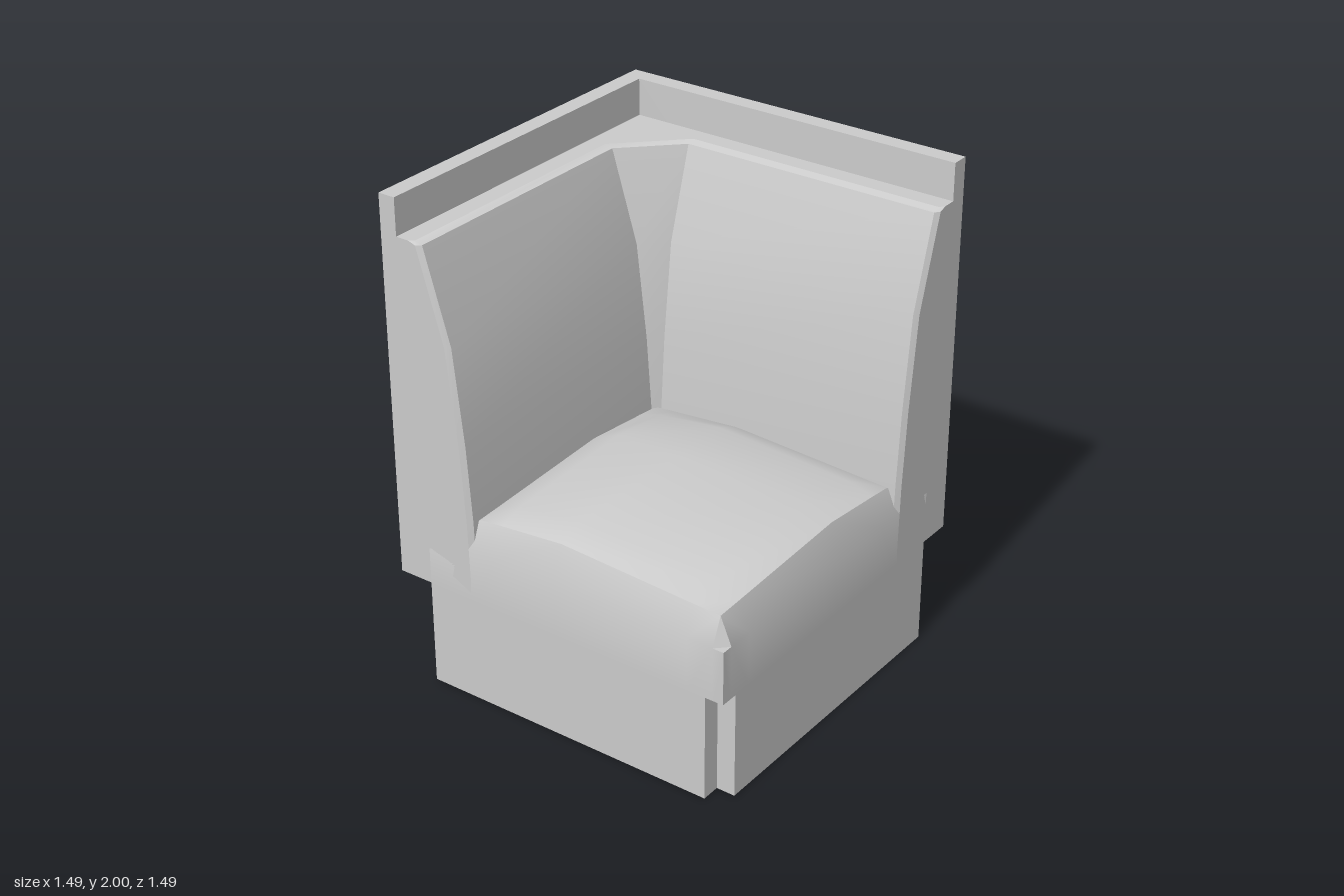
import * as THREE from 'three';
import { toCreasedNormals, mergeGeometries } from 'three/addons/utils/BufferGeometryUtils.js';

const E = 0.747; // half width of the whole seat
const grey = new THREE.MeshStandardMaterial({ color: 0xcccccc });

function addMesh(group, name, geometry) {
  const mesh = new THREE.Mesh(geometry, grey);
  mesh.name = name;
  group.add(mesh);
}

// Shape from plan points [x, z]; sign -1 for upward faces, 1 for downward faces
function planShape(points, sign = -1) {
  return new THREE.Shape(points.map(([x, z]) => new THREE.Vector2(x, sign * z)));
}

// Vertical prism over a plan outline
function prism(points, y0, y1) {
  const g = new THREE.ExtrudeGeometry(planShape(points), { depth: y1 - y0, bevelEnabled: false });
  return g.rotateX(-Math.PI / 2).translate(0, y0, 0);
}

function fromArrays(positions, indices) {
  const g = new THREE.BufferGeometry();
  g.setAttribute('position', new THREE.Float32BufferAttribute(positions, 3));
  g.setIndex(indices);
  return g;
}

// Plan of the corner backrest when its face stands at distance d
function backrestPlan(d) {
  const o = -0.675, c = -0.36, r = 0.015;
  return [
    [o, o], [E, o], [E, -d - 0.02], [E - r, -d], [c, -d],
    [-d, c], [-d, E - r], [-d - 0.02, E], [o, E],
  ];
}

function backrestGeometry() {
  // [height, distance of the padded face]
  const levels = [[0.44, 0.385], [0.51, 0.38], [0.77, 0.388], [1.08, 0.41],
    [1.47, 0.455], [1.84, 0.568], [1.85, 0.6]];
  const positions = [], indices = [];
  const n = backrestPlan(0.4).length;
  levels.forEach(([y, d], l) => {
    backrestPlan(d).forEach(([x, z]) => positions.push(x, y, z));
    if (l === 0) return;
    for (let k = 0; k < n; k++) {
      const a = (l - 1) * n + k, b = (l - 1) * n + (k + 1) % n;
      indices.push(a, a + n, b, b, a + n, b + n);
    }
  });
  const sides = toCreasedNormals(fromArrays(positions, indices), 0.5);
  const cap = ([y, d], sign) => new THREE.ShapeGeometry(planShape(backrestPlan(d), sign))
    .rotateX(sign * Math.PI / 2).translate(0, y, 0).toNonIndexed();
  const caps = [cap(levels[0], 1), cap(levels[levels.length - 1], -1)];
  caps.forEach((g) => g.deleteAttribute('uv'));
  return mergeGeometries([sides, ...caps]);
}

// Crowned cushion with rolled rim and straight skirt
function cushionGeometry() {
  const c = [-0.6, -0.6, -0.38, -0.28, 0, 0.59, 0.7, E, E];
  const n = c.length;
  const rim = { 2: 0.77, 3: 0.78, 4: 0.805, 5: 0.775, 6: 0.77 };
  const height = (i, j) => {
    const ring = Math.min(i, j, n - 1 - i, n - 1 - j);
    if (ring === 0) return 0.44;
    if (ring === 1) return 0.66;
    if (ring === 2) return (i === 2 || i === 6) ? rim[j] : rim[i];
    return (i === 4 || j === 4) ? 0.845 : 0.81;
  };
  const positions = [], indices = [];
  for (let i = 0; i < n; i++) {
    for (let j = 0; j < n; j++) {
      positions.push(c[i], height(i, j), c[j]);
      if (i === n - 1 || j === n - 1) continue;
      const a = i * n + j;
      indices.push(a, a + 1, a + n, a + n, a + 1, a + n + 1);
    }
  }
  return toCreasedNormals(fromArrays(positions, indices), 0.6);
}

export function createModel() {
  const model = new THREE.Group();
  model.name = 'cornerSeat';

  // Outer L-shaped shell
  const i = -0.675;
  addMesh(model, 'backPanels', prism([[-E, -E], [E, -E], [E, i], [i, i], [i, E], [-E, E]], 0.44, 2));

  // Padded back curving around the inner corner
  addMesh(model, 'backrestCushion', backrestGeometry());

  // Seat cushion and its underside, seen above the plinth notch
  addMesh(model, 'seatCushion', cushionGeometry());
  const w = E + 0.6;
  addMesh(model, 'seatUnderside', new THREE.PlaneGeometry(w, w)
    .rotateX(Math.PI / 2).translate(E - w / 2, 0.44, E - w / 2));

  // Plinth with a square notch in the free corner
  const q = 0.67;
  addMesh(model, 'plinth', prism([[-0.6, -0.6], [E, -0.6], [E, q], [q, q], [q, E], [-0.6, E]], 0, 0.44));
  return model;
}
